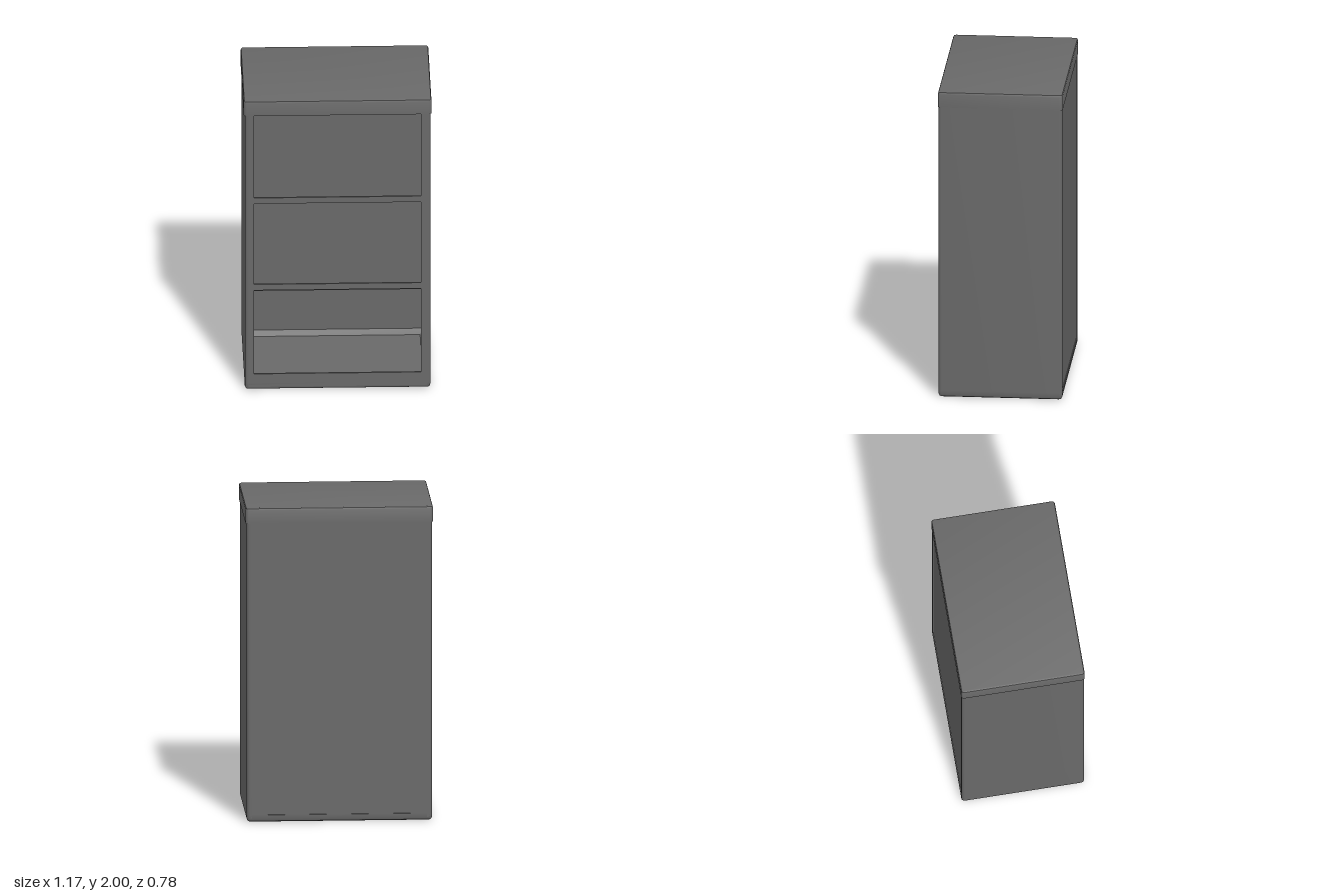
import * as THREE from 'three';
import { toCreasedNormals } from 'three/addons/utils/BufferGeometryUtils.js';

const W = 0.578, D = 0.387; // half width and half depth of the body
const T = 0.012;            // sheet thickness

// Rounded rectangle loop in the xz plane
function loop(hx, hz, r, y) {
  const pts = [];
  for (let c = 0; c < 4; c++) {
    const sx = c === 0 || c === 3 ? 1 : -1, sz = c < 2 ? 1 : -1;
    for (let i = 0; i <= 4; i++) {
      const a = (c + i / 4) * Math.PI / 2;
      pts.push([sx * (hx - r) + r * Math.cos(a), y, sz * (hz - r) + r * Math.sin(a)]);
    }
  }
  return pts;
}

// Closed solid through rings of [inset, y], listed from the underside outwards and up
function loft(hx, hz, radius, rings) {
  const pos = [], idx = [], n = 20;
  rings.forEach(([inset, y]) => {
    loop(hx - inset, hz - inset, Math.max(radius - inset, 0.004), y).forEach(p => pos.push(...p));
  });
  for (let k = 0; k < rings.length - 1; k++) {
    for (let i = 0; i < n; i++) {
      const a = k * n + i, b = k * n + (i + 1) % n;
      idx.push(a, a + n, b, b, a + n, b + n);
    }
  }
  const last = (rings.length - 1) * n;
  for (let i = 1; i < n - 1; i++) {
    idx.push(0, i, i + 1, last, last + i + 1, last + i);
  }
  const g = new THREE.BufferGeometry();
  g.setAttribute('position', new THREE.Float32BufferAttribute(pos, 3));
  g.setIndex(idx);
  return toCreasedNormals(g, 0.6);
}

// C-shaped side wall section, with rounded corners; shape y is -z
function sideWall(s) {
  const R = 0.02, outer = [[0.54, -D]], inner = [[0.54, -D + T]];
  [[-1, -Math.PI / 2], [1, 0]].forEach(([sy, start]) => {
    for (let i = 0; i <= 4; i++) {
      const a = start + i / 4 * Math.PI / 2, c = Math.cos(a), d = Math.sin(a);
      outer.push([W - R + R * c, sy * (D - R) + R * d]);
      inner.push([W - R + (R - T) * c, sy * (D - R) + (R - T) * d]);
    }
  });
  outer.push([0.545, D]);
  inner.push([0.545, D - T]);
  const pts = outer.concat(inner.reverse()).map(p => new THREE.Vector2(s * p[0], p[1]));
  const g = new THREE.ExtrudeGeometry(new THREE.Shape(pts), { depth: 1.885, bevelEnabled: false });
  g.rotateX(-Math.PI / 2).translate(0, 0.02, 0);
  return toCreasedNormals(g, 0.6);
}

function rect(path, x0, y0, x1, y1) {
  path.moveTo(x0, y0);
  path.lineTo(x1, y0);
  path.lineTo(x1, y1);
  path.lineTo(x0, y1);
  path.closePath();
  return path;
}

export function createModel() {
  const group = new THREE.Group();
  const grey = new THREE.MeshStandardMaterial({ color: 0x696969 });
  grey.name = 'grey';
  const add = (name, geometry) => {
    const m = new THREE.Mesh(geometry, grey);
    m.name = name;
    group.add(m);
    return m;
  };

  // Base tray: recessed underside panel, rounded rim, sloped inner edge, floor
  add('base', loft(W, D, 0.02, [
    [0.05, 0.006], [0.045, 0], [0.018, 0], [0.006, 0.006], [0, 0.02],
    [0, 0.045], [0.01, 0.045], [0.045, 0.012],
  ]));

  // Top cap, slightly wider than the body
  add('topCap', loft(0.585, 0.39, 0.018, [
    [0, 1.9], [0, 1.985], [0.004, 1.996], [0.015, 2],
  ]));

  // Side walls wrapping round the corners
  add('leftWall', sideWall(1));
  add('rightWall', sideWall(-1));

  // Slightly recessed back panel
  add('backPanel', new THREE.BoxGeometry(1.1, 1.885, 0.008)).position.set(0, 0.9625, -0.377);

  // Front frame with three openings
  const frame = rect(new THREE.Shape(), -0.555, 0.02, 0.555, 1.905);
  [[0.11, 0.69], [0.73, 1.29], [1.33, 1.9]].forEach(([y0, y1]) => {
    frame.holes.push(rect(new THREE.Path(), -0.52, y0, 0.52, y1));
  });
  const frameGeo = new THREE.ExtrudeGeometry(frame, { depth: T, bevelEnabled: false });
  add('frontFrame', frameGeo.translate(0, 0, D - T));

  // Small lip behind the lower rail
  add('railLip', new THREE.BoxGeometry(1.1, 0.02, 0.01)).position.set(0, 0.69, D - T - 0.005);

  return group;
}
